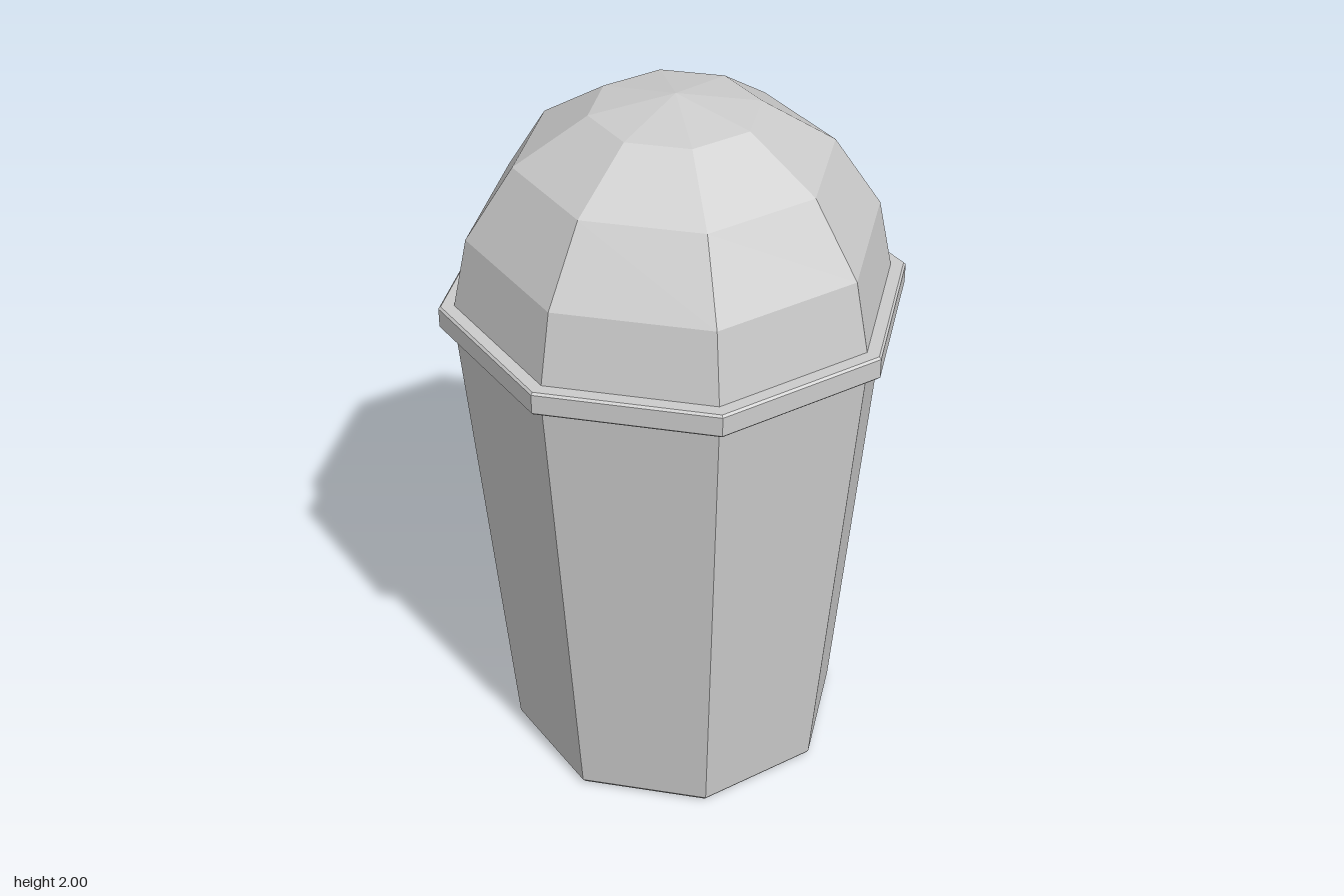
import * as THREE from 'three';

const SIDES = 8;

// Faceted eight-sided solid of revolution; profile runs [radius, y] from bottom to top
function facetedPart(name, profile) {
  const points = profile.map(([r, y]) => new THREE.Vector2(r, y));
  const material = new THREE.MeshStandardMaterial({ color: 0xcccccc, flatShading: true });
  const mesh = new THREE.Mesh(new THREE.LatheGeometry(points, SIDES), material);
  mesh.name = name;
  return mesh;
}

export function createModel() {
  const group = new THREE.Group();
  group.name = 'domedCup';

  // Tapered cup with a closed base and a slim bevel at the foot
  group.add(facetedPart('cup', [[0, 0], [0.455, 0], [0.468, 0.015], [0.592, 1.38]]));

  // Lid rim: a flat band with slightly eased edges
  group.add(facetedPart('lidRim', [
    [0.58, 1.373], [0.625, 1.373], [0.631, 1.379],
    [0.631, 1.433], [0.625, 1.439], [0.58, 1.439],
  ]));

  // Domed lid
  group.add(facetedPart('lidDome', [
    [0.59, 1.435], [0.55, 1.632], [0.421, 1.83], [0.225, 1.958], [0, 2],
  ]));

  return group;
}
